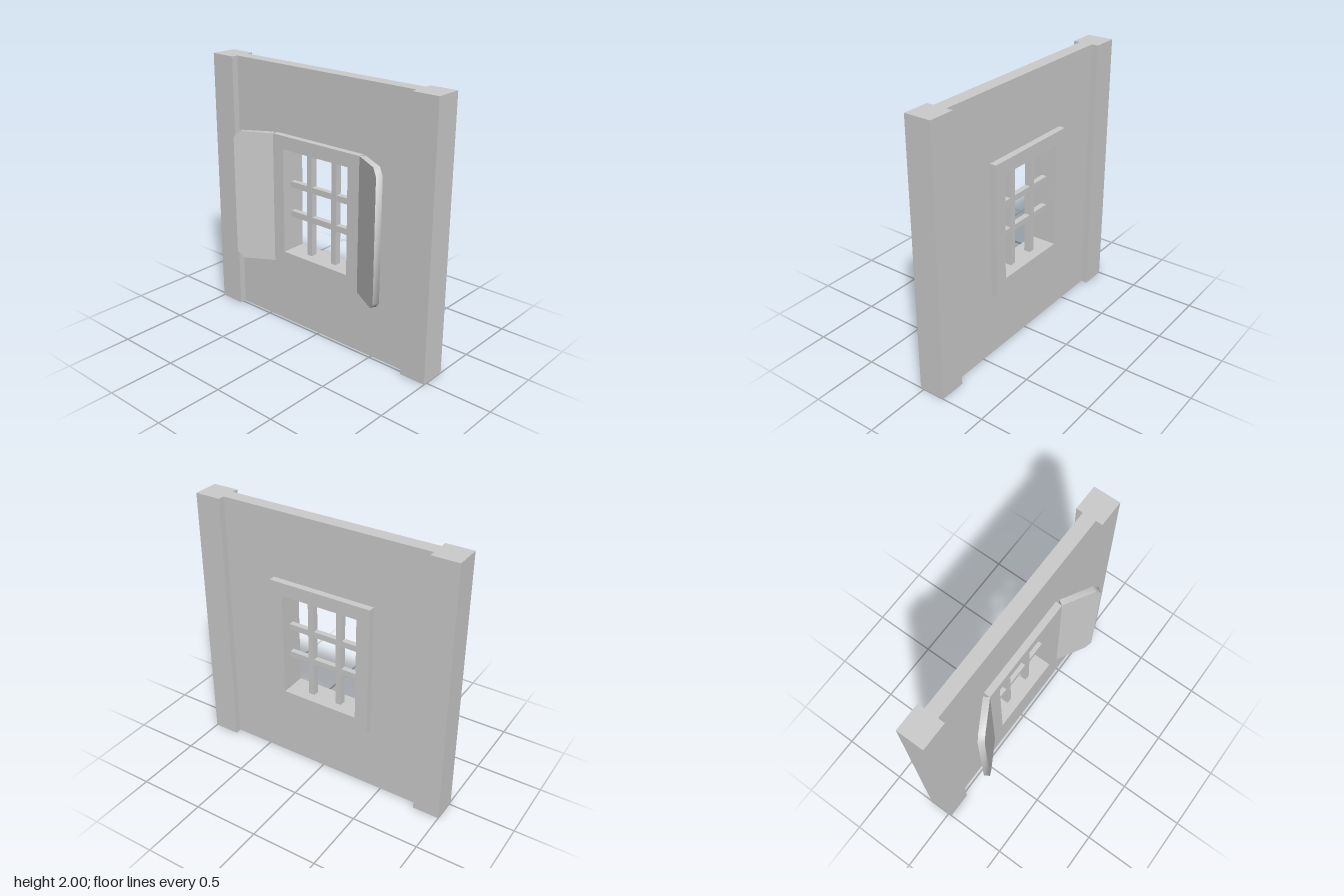
import * as THREE from 'three';
import { toCreasedNormals } from 'three/addons/utils/BufferGeometryUtils.js';

const material = new THREE.MeshStandardMaterial({ color: 0xcccccc });
const CENTRE_X = 0.0725; // mid-plane of the wall

// Rectangular panel with a rectangular hole, lying in the z-y plane
function holedPanel(halfW, y0, y1, holeHalfW, holeY0, holeY1, thickness) {
  const rect = (Type, w, a, b) => {
    const path = new Type();
    path.moveTo(-w, a);
    path.lineTo(w, a);
    path.lineTo(w, b);
    path.lineTo(-w, b);
    path.closePath();
    return path;
  };
  const shape = rect(THREE.Shape, halfW, y0, y1);
  shape.holes.push(rect(THREE.Path, holeHalfW, holeY0, holeY1));
  const geo = new THREE.ExtrudeGeometry(shape, { depth: thickness, bevelEnabled: false });
  geo.translate(0, 0, -thickness / 2);
  geo.rotateY(-Math.PI / 2);
  return geo;
}

export function createModel() {
  const group = new THREE.Group();
  const add = (name, geo, x, y, z) => {
    const mesh = new THREE.Mesh(geo, material);
    mesh.name = name;
    mesh.position.set(x, y, z);
    group.add(mesh);
    return mesh;
  };

  // Wall and window frame
  add('wall', holedPanel(0.8, 0, 2, 0.35, 0.55, 1.45, 0.1), CENTRE_X, 0, 0);
  add('windowFrame', holedPanel(0.4, 0.5, 1.5, 0.3, 0.6, 1.4, 0.2), CENTRE_X, 0, 0);

  // Shutter outline: hinge edge at x = 0, outer corners chamfered
  const length = 0.295, thickness = 0.046, cut = 0.05;
  const outline = new THREE.Shape([
    [0, 0.5], [length - cut, 0.5], [length, 0.5 + cut],
    [length, 1.5 - cut], [length - cut, 1.5], [0, 1.5],
  ].map(([x, y]) => new THREE.Vector2(x, y)));

  for (const side of [1, -1]) {
    const end = side > 0 ? 'front' : 'back';

    // End posts
    add(end + 'Post', new THREE.BoxGeometry(0.2, 2, 0.2), CENTRE_X, 1, side * 0.9);

    // Window bars
    add(end + 'VerticalBar', new THREE.BoxGeometry(0.05, 0.82, 0.045), CENTRE_X, 1, side * 0.115);
    add(side > 0 ? 'upperBar' : 'lowerBar',
      new THREE.BoxGeometry(0.042, 0.045, 0.62), CENTRE_X, 1 + side * 0.115, 0);

    // Shutters, swung open
    const geo = new THREE.ExtrudeGeometry(outline, { depth: thickness, bevelEnabled: false });
    if (side > 0) geo.translate(0, 0, -thickness);
    const shutter = add(end + 'Shutter', toCreasedNormals(geo, 0.9), -0.0275, 0, side * 0.4);
    shutter.rotation.y = -side * Math.PI * 2 / 3;
  }

  return group;
}
